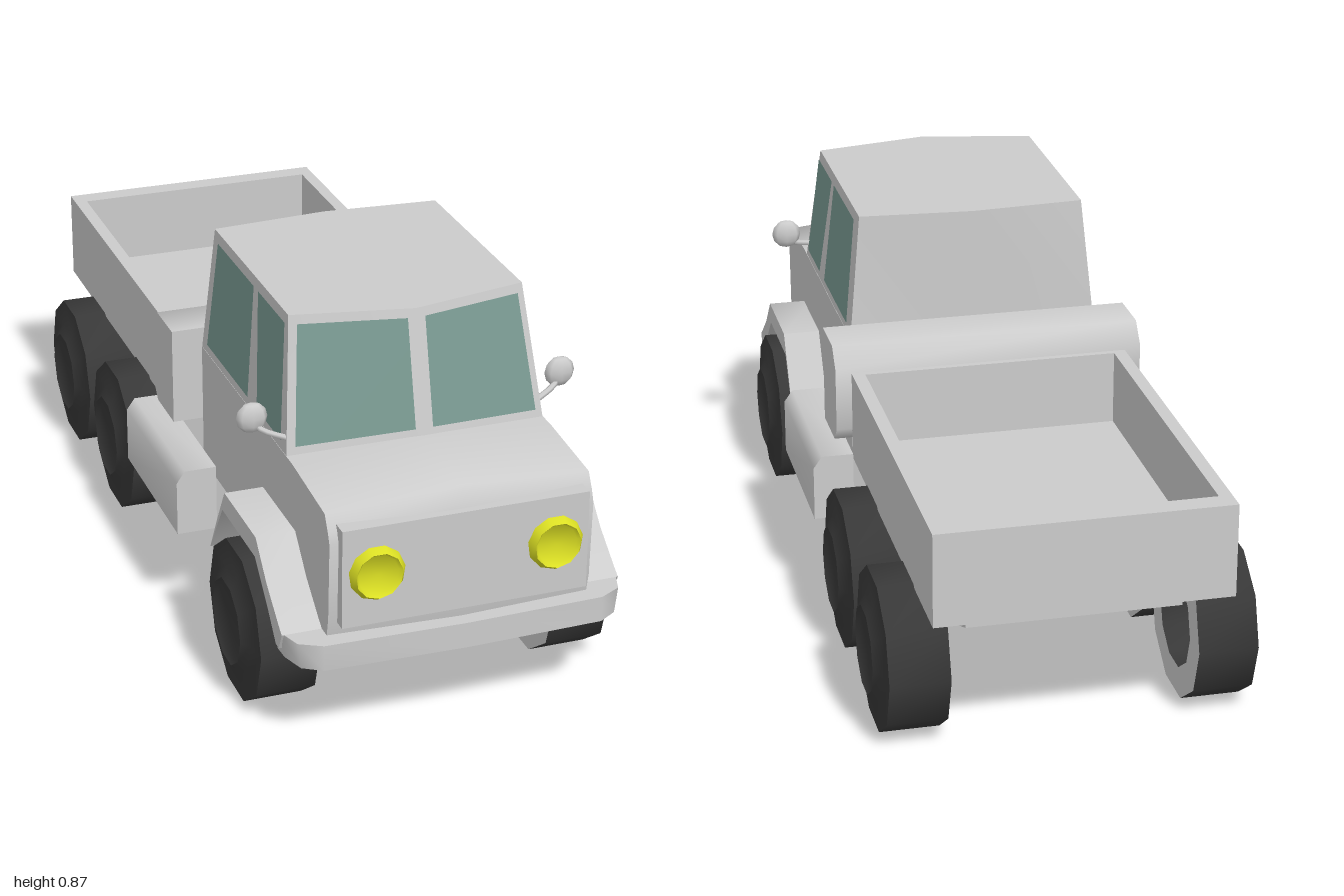
import * as THREE from 'three';
import { toCreasedNormals } from 'three/addons/utils/BufferGeometryUtils.js';

const mat = (color, side = THREE.FrontSide) => new THREE.MeshStandardMaterial({ color, side });
const grey = mat(0xcccccc), rubber = mat(0x383838), yellow = mat(0xdce024);
const glass = mat(0x7a9a92, THREE.DoubleSide);
const outline = (pts) => new THREE.Shape(pts.map(([a, b]) => new THREE.Vector2(a, b)));

// Moves every vertex by a rule, then shades soft bends smooth and edges sharp.
function finish(geo, rule) {
  const p = geo.attributes.position, v = new THREE.Vector3();
  if (rule) for (let i = 0; i < p.count; i++) {
    v.fromBufferAttribute(p, i);
    rule(v);
    p.setXYZ(i, v.x, v.y, v.z);
  }
  return toCreasedNormals(geo, 1);
}

// Side outline of [z, y] points, swept across x from x0 to x1.
function sideExtrude(pts, x0, x1, rule, steps = 1) {
  const g = new THREE.ExtrudeGeometry(outline(pts), { depth: x1 - x0, steps, bevelEnabled: false });
  return finish(g.rotateY(-Math.PI / 2).translate(x1, 0, 0), rule);
}

// Plan outline of [x, z] points, swept up from y0 to y1.
function planExtrude(pts, y0, y1, rule) {
  const g = new THREE.ExtrudeGeometry(outline(pts.map(([x, z]) => [x, -z])), { depth: y1 - y0, bevelEnabled: false });
  return finish(g.rotateX(-Math.PI / 2).translate(0, y0, 0), rule);
}

const mirrored = (half) => [...half, ...half.slice().reverse().filter(([x]) => x !== 0).map(([x, z]) => [-x, z])];

export function createModel() {
  const truck = new THREE.Group();
  const add = (name, geo, material = grey, parent = truck) => {
    const m = new THREE.Mesh(geo, material);
    m.name = name;
    parent.add(m);
    return m;
  };
  const box = (name, x0, x1, y0, y1, z0, z1) => add(name,
    new THREE.BoxGeometry(x1 - x0, y1 - y0, z1 - z0).translate((x0 + x1) / 2, (y0 + y1) / 2, (z0 + z1) / 2));

  // Lower cab and hood, crowned along the centre line
  add('cabBody', sideExtrude([
    [0.07, 0.28], [0.47, 0.28], [0.55, 0.41], [0.72, 0.41], [0.82, 0.31], [0.87, 0.25], [0.95, 0.25],
    [0.965, 0.32], [0.972, 0.5], [0.962, 0.55], [0.942, 0.585], [0.72, 0.602], [0.07, 0.602],
  ], -0.3, 0.3, (v) => {
    const edge = Math.abs(v.x) > 0.29;
    if (edge && v.y > 0.53) v.y -= 0.025;
    if (edge && v.z > 0.9) v.z -= 0.015;
  }, 2));

  // Upper cab, tapering to the roof with a raked V windscreen
  add('cabTop', planExtrude(mirrored([[0, 0.07], [0.3, 0.07], [0.3, 0.68], [0, 0.735]]), 0.57, 0.875, (v) => {
    if (v.y < 0.8) return;
    if (v.z > 0.5) v.z -= 0.072;
    else if (Math.abs(v.x) > 0.1) v.z += 0.02;
    v.x *= 0.9;
  }));

  // Window panes lie just outside the cab walls
  const pane = (name, pts) => {
    const g = new THREE.BufferGeometry();
    g.setAttribute('position', new THREE.Float32BufferAttribute(pts.flat(), 3));
    g.setIndex([0, 1, 2, 0, 2, 3]);
    g.computeVertexNormals();
    add(name, g, glass);
  };
  const rise = (y) => (y - 0.57) / 0.305;
  const wallX = (y) => 0.304 - 0.03 * rise(y);
  for (const s of [1, -1]) {
    const order = (pts) => (s > 0 ? pts : pts.reverse());
    const front = ([x, y]) => [s * x, y, 0.741 - 0.072 * rise(y) - 0.055 * x / (0.3 - 0.03 * rise(y))];
    const flank = ([z, y]) => [s * wallX(y), y, z];
    pane('windscreen', order([[0.02, 0.618], [0.28, 0.598], [0.255, 0.857], [0.02, 0.857]].map(front)));
    pane('frontSideWindow', order([[0.645, 0.6], [0.48, 0.6], [0.42, 0.855], [0.6, 0.855]].map(flank)));
    pane('rearSideWindow', order([[0.415, 0.6], [0.115, 0.6], [0.13, 0.855], [0.39, 0.855]].map(flank)));
  }

  // Front panel, headlights and bumper
  box('frontPanel', -0.28, 0.28, 0.31, 0.54, 0.93, 0.98);
  const lampProfile = [[0.063, 0], [0.063, 0.025], [0.053, 0.04], [0.046, 0.032], [0, 0.03]];
  for (const s of [1, -1]) {
    const lamp = new THREE.LatheGeometry(lampProfile.map(([r, h]) => new THREE.Vector2(r, h)), 11);
    add('headlight', finish(lamp.rotateX(Math.PI / 2).translate(s * 0.203, 0.432, 0.96)), yellow);
  }
  add('bumper', planExtrude(mirrored([[0, 0.88], [0.28, 0.88], [0.3, 0.86], [0.39, 0.86], [0.388, 0.9],
    [0.37, 0.955], [0.32, 0.982], [0, 0.99]]), 0.217, 0.277, (v) => {
    if (v.y < 0.25 && Math.abs(v.x) > 0.35) v.x *= 0.98;
  }));

  // Flared wheel arches running down into the bumper
  const arch = [[0.405, 0.235], [0.5, 0.375], [0.73, 0.375], [0.82, 0.29], [0.87, 0.235], [0.89, 0.235],
    [0.91, 0.277], [0.89, 0.29], [0.81, 0.35], [0.737, 0.425], [0.517, 0.425], [0.465, 0.34]];
  for (const x of [0.28, -0.39]) add('wheelArch', sideExtrude(arch, x, x + 0.11));

  // Wing mirrors on bent arms
  for (const s of [1, -1]) {
    const mirror = new THREE.Group();
    mirror.name = 'wingMirror';
    truck.add(mirror);
    const path = new THREE.CatmullRomCurve3([[0.285, 0.61, 0.665], [0.345, 0.63, 0.635], [0.362, 0.655, 0.62]]
      .map(([x, y, z]) => new THREE.Vector3(s * x, y, z)));
    add('mirrorArm', new THREE.TubeGeometry(path, 6, 0.007, 6), grey, mirror);
    const head = new THREE.SphereGeometry(0.036, 8, 6).scale(1, 1, 0.5);
    add('mirrorHead', head.translate(s * 0.36, 0.655, 0.625), grey, mirror);
  }

  // Cross locker behind the cab, side tanks and underframe
  add('locker', sideExtrude([[0.055, 0.385], [-0.075, 0.385], [-0.105, 0.42], [-0.105, 0.57], [-0.065, 0.617],
    [0.055, 0.617]], -0.368, 0.368));
  for (const s of [1, -1]) {
    const tank = [[0.335, 0.21], [0.43, 0.21], [0.43, 0.34], [0.41, 0.368], [0.335, 0.368]];
    const g = new THREE.ExtrudeGeometry(outline(tank.map(([x, y]) => [s * x, y])), { depth: 0.415, bevelEnabled: false });
    add('sideTank', finish(g.translate(0, 0, -0.135)));
  }
  box('midFrame', -0.24, 0.24, 0.27, 0.39, -0.12, 0.25);
  box('engineSump', -0.24, 0.24, 0.2, 0.42, 0.49, 0.81);
  add('rearFrame', sideExtrude([[-0.51, 0.35], [-0.51, 0.17], [-0.62, 0.17], [-0.91, 0.29], [-0.91, 0.35]], -0.24, 0.24));

  // Open cargo bed
  box('bedFloor', -0.33, 0.33, 0.345, 0.385, -1, -0.1);
  box('tailgate', -0.33, 0.33, 0.385, 0.56, -1, -0.95);
  box('bedFront', -0.33, 0.33, 0.385, 0.56, -0.12, -0.1);
  for (const x of [-0.33, 0.3]) box('bedSide', x, x + 0.03, 0.385, 0.56, -0.95, -0.12);

  // Ten-sided wheels: tyre with raised hub ring, pale inner face and dark hollow
  const lathe = (pts) => finish(new THREE.LatheGeometry(pts.map(([r, h]) => new THREE.Vector2(r, h)), 10)
    .rotateZ(-Math.PI / 2));
  const tyreGeo = lathe([[0.185, 0.275], [0.185, 0.41], [0.125, 0.416], [0.1, 0.43], [0.088, 0.422], [0, 0.422]]);
  const faceGeo = lathe([[0.115, 0.275], [0.185, 0.275]]);
  const hollowGeo = lathe([[0, 0.37], [0.115, 0.37], [0.115, 0.275]]);
  const hollowMat = mat(0x383838, THREE.DoubleSide), faceMat = mat(0xcccccc, THREE.DoubleSide);
  for (const z of [0.645, -0.34, -0.745]) {
    for (const s of [1, -1]) {
      const wheel = new THREE.Group();
      wheel.name = 'wheel';
      wheel.position.set(0, 0.176, z);
      if (s < 0) wheel.rotation.y = Math.PI;
      add('tyre', tyreGeo, rubber, wheel);
      add('innerFace', faceGeo, faceMat, wheel);
      add('hubHollow', hollowGeo, hollowMat, wheel);
      truck.add(wheel);
    }
  }
  add('frontAxle', new THREE.CylinderGeometry(0.04, 0.04, 0.74, 10).rotateZ(Math.PI / 2).translate(0, 0.166, 0.645));
  return truck;
}
